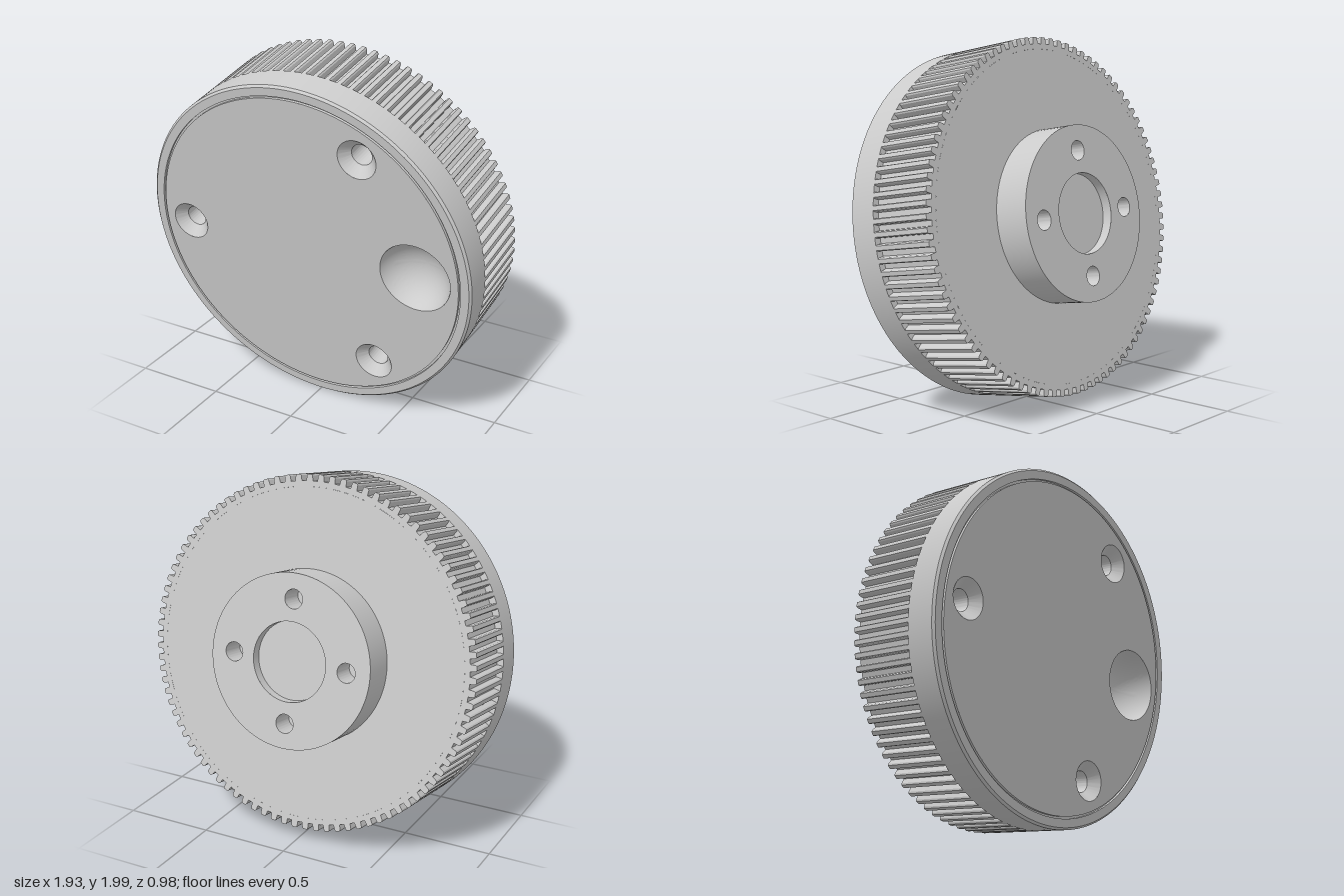
import * as THREE from 'three';
import { toCreasedNormals } from 'three/addons/utils/BufferGeometryUtils.js';

const SEG = 96;
const R = 0.965;          // outer radius
const BACK = -0.557;      // back of the knob body
const HUB_BACK = -0.757;  // back of the hub
const RIM_BACK = -0.172;  // where the ridges begin

const material = new THREE.MeshStandardMaterial({ color: 0xcccccc });

// Surface of revolution about z; profile points are [radius, z]
function turned(profile, segments = SEG, crease = 0.5) {
  const geo = new THREE.LatheGeometry(profile.map(([r, z]) => new THREE.Vector2(r, z)), segments);
  geo.rotateX(Math.PI / 2);
  return toCreasedNormals(geo, crease);
}

// Flat disc with round holes given as [x, y, radius]
function drilledDisc(radius, holes) {
  const shape = new THREE.Shape();
  shape.absarc(0, 0, radius, 0, Math.PI * 2);
  for (const [x, y, r] of holes) {
    const path = new THREE.Path();
    path.absarc(x, y, r, 0, Math.PI * 2, true);
    shape.holes.push(path);
  }
  return new THREE.ShapeGeometry(shape, SEG);
}

// Points evenly spaced on a circle
function ring(count, radius) {
  return Array.from({ length: count }, (_, i) => {
    const a = Math.PI / count * 2 * i + (count === 3 ? Math.PI / 3 : 0);
    return [radius * Math.cos(a), radius * Math.sin(a)];
  });
}

export function createModel() {
  const model = new THREE.Group();
  model.name = 'controlKnob';
  const add = (name, geo, x = 0, y = 0, z = 0) => {
    const mesh = new THREE.Mesh(geo, material);
    mesh.name = name;
    mesh.position.set(x, y, z);
    model.add(mesh);
    return mesh;
  };

  const screws = ring(3, 0.735);
  const hubHoles = ring(4, 0.334);
  const dimple = [0.652, 0, 0.2];

  // Smooth front rim with a small chamfer and a fine groove around the face
  add('rim', turned([
    [0.92, RIM_BACK], [R, RIM_BACK], [R, -0.012], [R - 0.012, 0],
    [0.907, 0], [0.907, -0.015], [0.895, -0.015], [0.895, 0],
  ], 180));

  // Front face, pierced for the screws and the finger dimple
  add('frontFace', drilledDisc(0.895, [...screws.map(([x, y]) => [x, y, 0.109]), dimple]));

  // Countersunk screw holes
  const countersink = turned([[0.109, 0], [0.058, -0.055], [0.058, -0.26], [0, -0.26]]);
  for (const [x, y] of screws) add('screwHole', countersink, x, y);

  // Finger dimple: a spherical hollow
  const depth = 0.15, rim = dimple[2];
  const ball = (rim * rim + depth * depth) / (2 * depth);
  const sweep = Math.asin(rim / ball);
  const bowl = [];
  for (let i = 0; i <= 16; i++) {
    const a = sweep * (1 - i / 16);
    bowl.push([ball * Math.sin(a), ball - depth - ball * Math.cos(a)]);
  }
  add('fingerDimple', turned(bowl, SEG, 0.7), dimple[0], dimple[1]);

  // Grip band of straight ridges
  const TEETH = 90, step = Math.PI * 2 / TEETH, root = R - 0.036;
  const outline = [];
  for (let i = 0; i < TEETH; i++) {
    const mid = Math.PI / 2 + i * step;
    for (const [f, r] of [[-0.29, root], [-0.25, R - 0.008], [-0.17, R], [0.17, R], [0.25, R - 0.008], [0.29, root]]) {
      const a = mid + f * step;
      outline.push(new THREE.Vector2(r * Math.cos(a), r * Math.sin(a)));
    }
  }
  const grip = new THREE.Shape(outline);
  const core = new THREE.Path();
  core.absarc(0, 0, 0.9, 0, Math.PI * 2, true);
  grip.holes.push(core);
  add('ridgedGrip', new THREE.ExtrudeGeometry(grip, {
    depth: RIM_BACK - BACK, bevelEnabled: false, curveSegments: SEG,
  }), 0, 0, BACK);

  // Hub wall running out into the back plate
  add('hubAndBackPlate', turned([[0.47, HUB_BACK], [0.47, BACK], [0.9, BACK]]));
  // The disc is turned to face the back
  add('hubFace', drilledDisc(0.47, [[0, 0, 0.215], ...hubHoles.map(([x, y]) => [x, y, 0.052])])
    .rotateY(Math.PI), 0, 0, HUB_BACK);

  // Shallow centre recess and the four mounting holes
  add('centreRecess', turned([[0, 0.055], [0.215, 0.055], [0.215, 0]]), 0, 0, HUB_BACK);
  const mountHole = turned([[0, 0.14], [0.052, 0.14], [0.052, 0]]);
  for (const [x, y] of hubHoles) add('mountingHole', mountHole, x, y, HUB_BACK);

  // Lean the knob so its face looks slightly downward
  const tilt = THREE.MathUtils.degToRad(9.5);
  model.rotation.x = tilt;
  model.position.set(0, R * Math.cos(tilt), 0.332);

  const root3 = new THREE.Group();
  root3.name = 'knob';
  root3.add(model);
  return root3;
}
